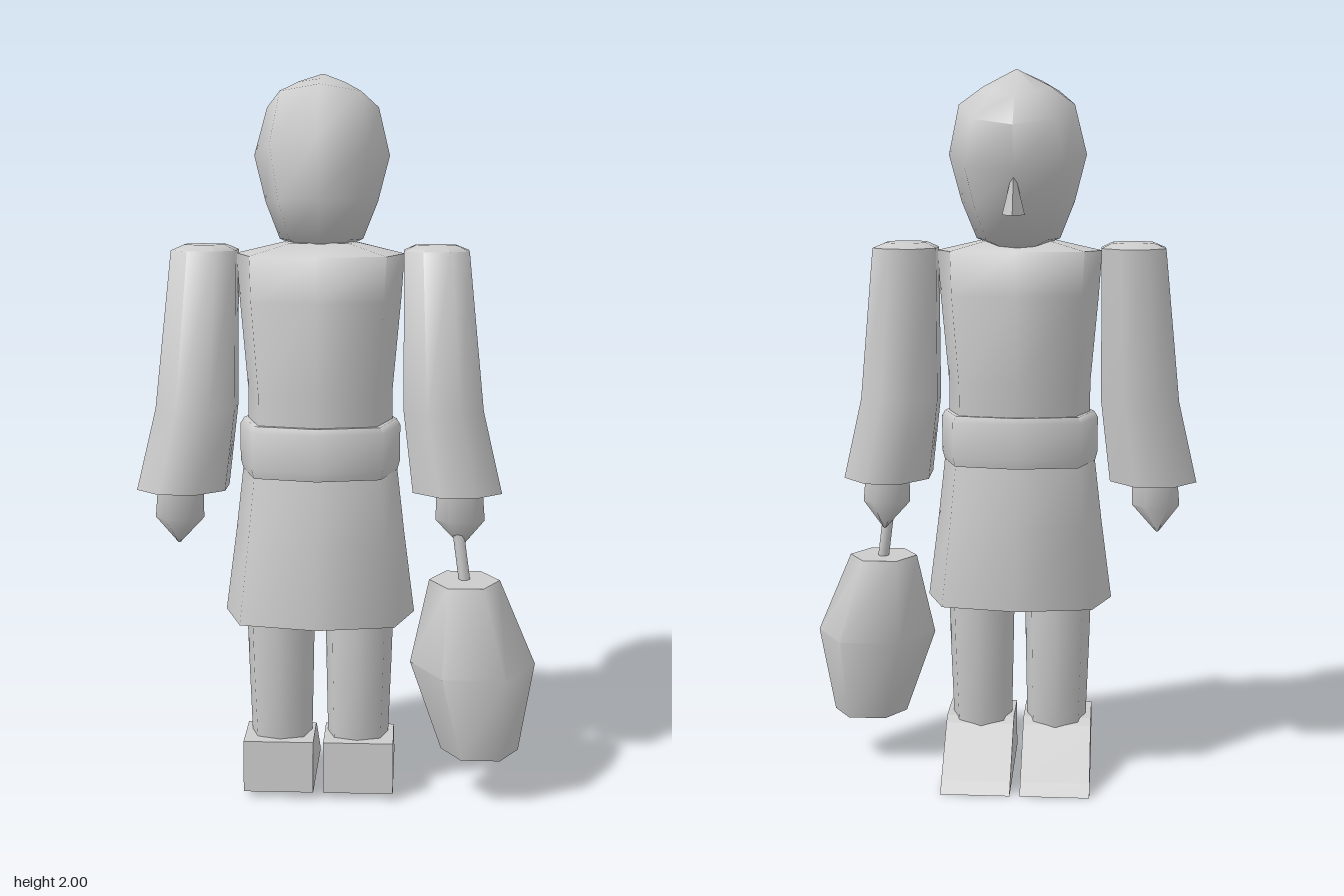
import * as THREE from 'three';
import { toCreasedNormals } from 'three/addons/utils/BufferGeometryUtils.js';

const MID = -0.047; // the body's own centre line

// Skin over rings listed bottom to top: [centreX, radiusX, zFront, yFront, zBack, yBack]
function loft(rings, sides, power = 1, turn = 0) {
  const pos = [], index = [];
  const bend = (v) => Math.sign(v) * Math.pow(Math.abs(v), power);
  for (const [cx, rx, zf, yf, zb, yb] of rings) {
    for (let j = 0; j < sides; j++) {
      const a = (j / sides) * Math.PI * 2 + turn;
      const c = bend(Math.cos(a)), s = bend(Math.sin(a));
      const t = (1 + s) / 2;
      pos.push(cx + rx * c, yb + (yf - yb) * t, zb + (zf - zb) * t);
    }
  }
  const top = rings.length - 1;
  for (let r = 0; r < top; r++) {
    for (let j = 0; j < sides; j++) {
      const k = (j + 1) % sides;
      const a = r * sides + j, b = r * sides + k;
      index.push(a, a + sides, b, b, a + sides, b + sides);
    }
  }
  // end caps
  for (const r of [0, top]) {
    const [cx, , zf, yf, zb, yb] = rings[r];
    const centre = pos.length / 3;
    pos.push(cx, (yf + yb) / 2, (zf + zb) / 2);
    for (let j = 0; j < sides; j++) {
      const a = r * sides + j, b = r * sides + ((j + 1) % sides);
      if (r === 0) index.push(centre, a, b);
      else index.push(centre, b, a);
    }
  }
  const geo = new THREE.BufferGeometry();
  geo.setAttribute('position', new THREE.Float32BufferAttribute(pos, 3));
  geo.setIndex(index);
  return toCreasedNormals(geo, 1.15);
}

// Level ring
const ring = (cx, rx, y, zf, zb) => [cx, rx, zf, y, zb, y];

export function createModel() {
  const group = new THREE.Group();
  const grey = new THREE.MeshStandardMaterial({ color: 0xcccccc });
  grey.name = 'light grey';
  const add = (name, geo) => {
    const mesh = new THREE.Mesh(geo, grey);
    mesh.name = name;
    group.add(mesh);
    return mesh;
  };

  // Head, leaning towards the face at -z
  add('head', loft([
    [MID, 0.05, 0.04, 1.53, -0.08, 1.525],
    [MID, 0.115, 0.11, 1.56, -0.15, 1.55],
    [MID, 0.155, 0.15, 1.67, -0.22, 1.64],
    [MID, 0.187, 0.14, 1.83, -0.25, 1.73],
    [MID, 0.155, 0.07, 1.97, -0.28, 1.85],
    [MID, 0.09, 0.0, 1.985, -0.195, 1.93],
    [MID, 0.004, -0.105, 2.0, -0.115, 2.0],
  ], 8));
  add('nose', loft([
    ring(MID, 0.03, 1.62, -0.19, -0.29),
    ring(MID, 0.003, 1.73, -0.23, -0.24),
  ], 4));

  // Tunic, belt and skirt
  add('torso', loft([
    ring(MID, 0.2, 1.0, 0.215, -0.1),
    ring(MID, 0.2, 1.15, 0.21, -0.115),
    ring(MID, 0.222, 1.4, 0.212, -0.14),
    ring(MID, 0.23, 1.52, 0.175, -0.11),
    ring(MID, 0.1, 1.55, 0.1, -0.06),
  ], 8, 0.65));
  add('belt', loft([
    ring(MID, 0.215, 0.925, 0.235, -0.115),
    ring(MID, 0.222, 0.95, 0.24, -0.12),
    ring(MID, 0.222, 1.05, 0.232, -0.12),
    ring(MID, 0.212, 1.067, 0.225, -0.115),
  ], 8, 0.65));
  add('skirt', loft([
    ring(MID, 0.265, 0.52, 0.27, -0.11),
    ring(MID, 0.235, 0.75, 0.25, -0.115),
    ring(MID, 0.212, 0.95, 0.22, -0.1),
  ], 8, 0.65));

  // Foot profile in z and y: heel, ankle, sloping toe
  const footShape = new THREE.Shape([
    [-0.2, 0.02], [0.162, 0.0], [0.13, 0.03], [-0.015, 0.15], [-0.04, 0.165], [-0.19, 0.165],
  ].map(([x, y]) => new THREE.Vector2(x, y)));

  for (const s of [-1, 1]) {
    const side = s > 0 ? 'left' : 'right';
    const at = (d) => MID + s * d;

    // Leg and wedge shaped foot
    add(side + 'Leg', loft([
      ring(at(0.108), 0.085, 0.13, 0.165, 0.01),
      ring(at(0.11), 0.092, 0.37, 0.185, -0.02),
      ring(at(0.112), 0.1, 0.7, 0.19, -0.035),
    ], 8, 0.8));
    const foot = new THREE.ExtrudeGeometry(footShape, { depth: 0.196, bevelEnabled: false });
    foot.rotateY(Math.PI / 2);
    foot.translate(at(0.112) - 0.098, 0, 0);
    add(side + 'Foot', foot);

    // Flared sleeve and pointed hand
    add(side + 'Sleeve', loft([
      [at(0.38), 0.132, 0.222, 0.88, -0.055, 0.865],
      [at(0.34), 0.118, 0.19, 1.1, -0.055, 1.1],
      [at(0.317), 0.096, 0.128, 1.53, -0.08, 1.525],
      [at(0.315), 0.06, 0.085, 1.545, -0.04, 1.54],
    ], 8, 1, Math.PI / 8));
    add(side + 'Hand', loft([
      ring(at(0.395), 0.004, 0.715, 0.09, 0.08),
      ring(at(0.39), 0.068, 0.79, 0.15, 0.045),
      ring(at(0.385), 0.062, 0.92, 0.15, 0.045),
    ], 6));
  }

  // Carried bag with its handle
  add('bagHandle', loft([
    ring(0.36, 0.016, 0.6, 0.13, 0.1),
    ring(0.335, 0.016, 0.78, 0.115, 0.085),
  ], 6));
  add('bag', loft([
    ring(0.405, 0.108, 0.14, 0.25, 0.055),
    ring(0.382, 0.174, 0.39, 0.305, -0.03),
    ring(0.357, 0.098, 0.625, 0.22, 0.02),
  ], 6));

  return group;
}
